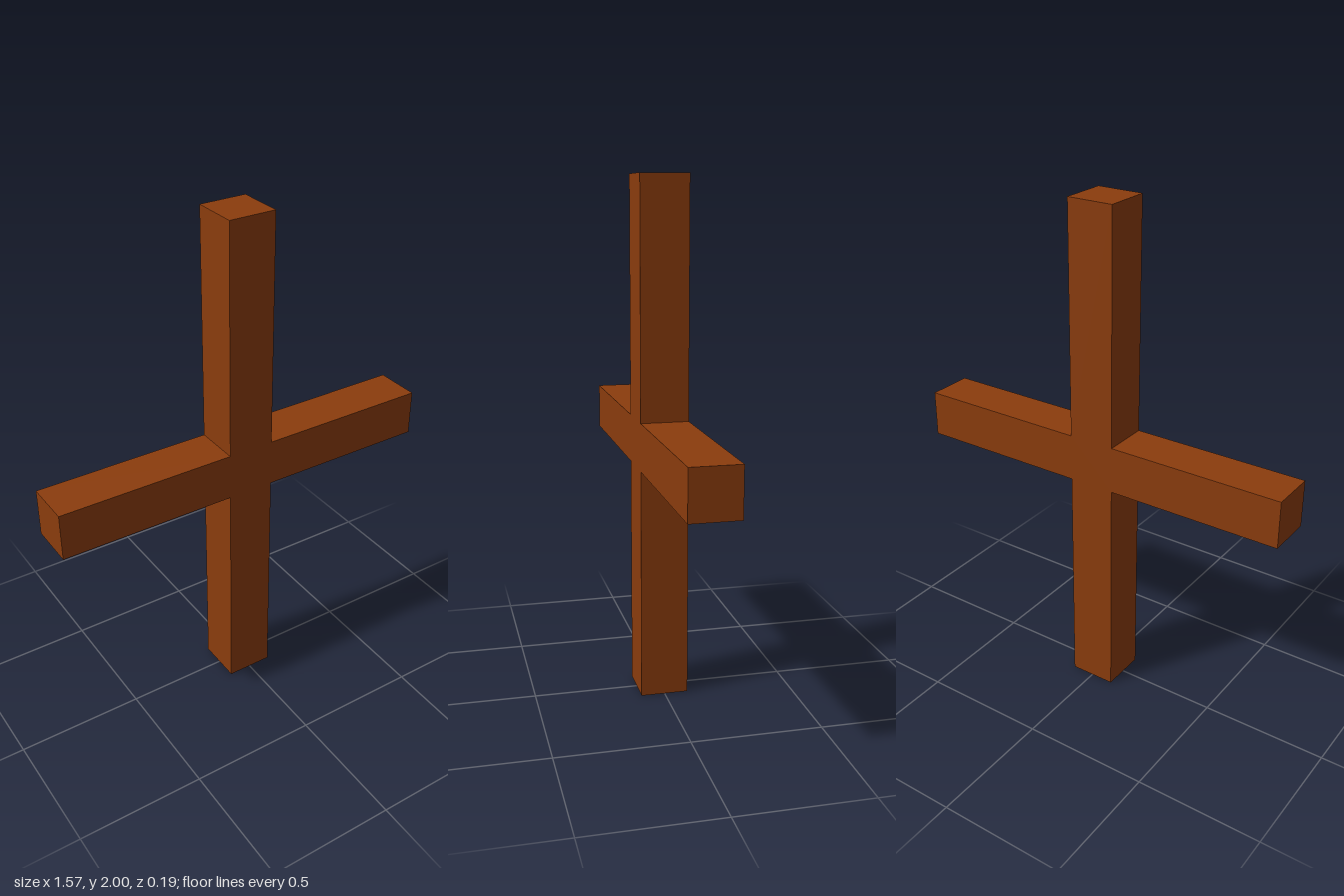
import * as THREE from 'three';

export function createModel() {
  const group = new THREE.Group();
  const half = 0.0925;          // half thickness of the beams
  const reach = 0.787;          // half length of the crossbar
  const height = 2, mid = 1.0;  // post height and crossbar centre

  // Plus-shaped outline, so post and crossbar join in one flush solid
  const outline = new THREE.Shape([
    [-half, 0], [half, 0],
    [half, mid - half], [reach, mid - half], [reach, mid + half], [half, mid + half],
    [half, height], [-half, height],
    [-half, mid + half], [-reach, mid + half], [-reach, mid - half], [-half, mid - half],
  ].map(([x, y]) => new THREE.Vector2(x, y)));

  const geometry = new THREE.ExtrudeGeometry(outline, { depth: 2 * half, bevelEnabled: false });
  geometry.translate(0, 0, -half);

  const cross = new THREE.Mesh(geometry, new THREE.MeshStandardMaterial({ color: 0x8b3c0d }));
  cross.name = 'woodenCross';
  group.add(cross);
  return group;
}
